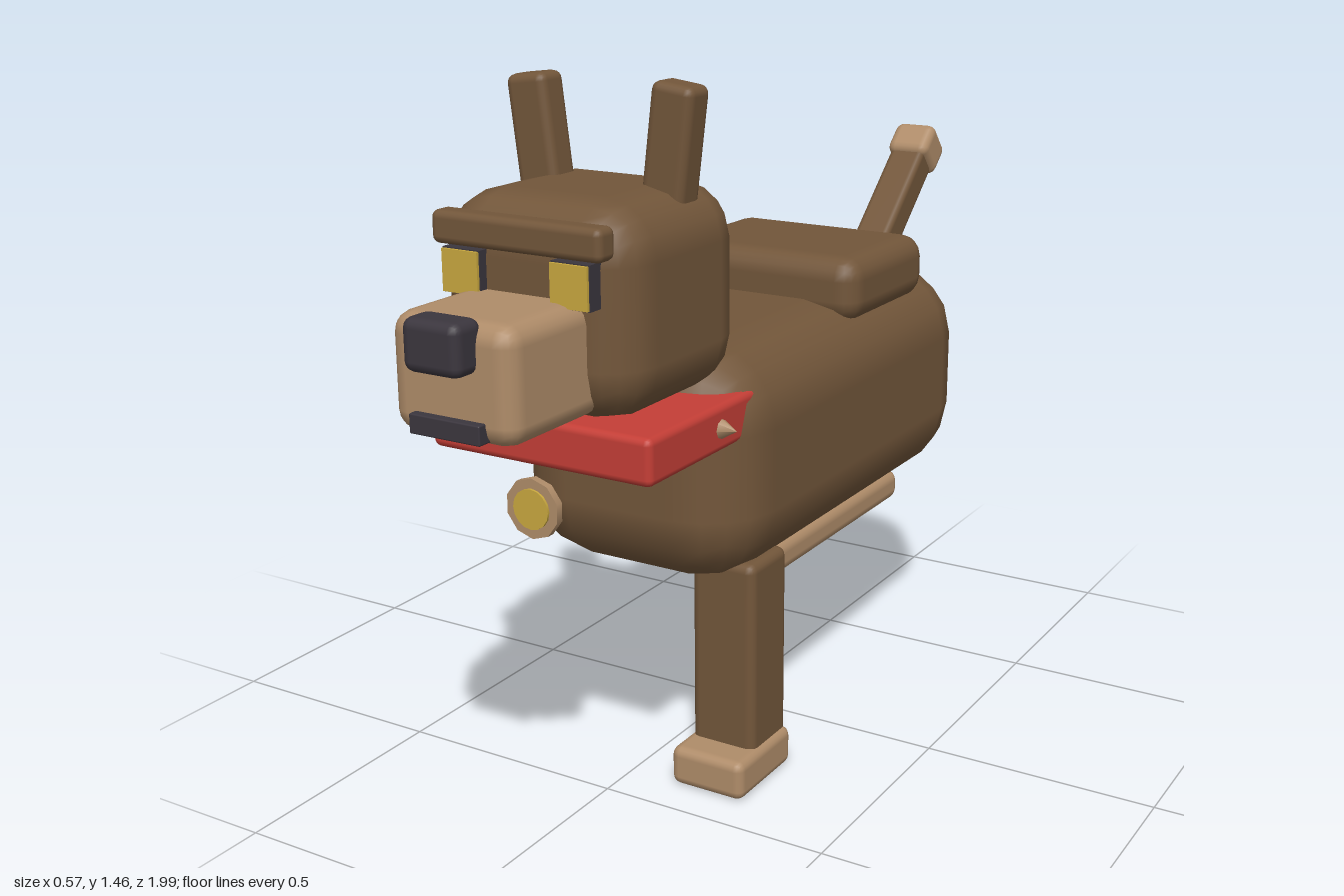
import * as THREE from 'three';
import { RoundedBoxGeometry } from 'three/addons/geometries/RoundedBoxGeometry.js';

const mat = (name, color) => {
  const m = new THREE.MeshStandardMaterial({ color });
  m.name = name;
  return m;
};

export function createModel() {
  const dog = new THREE.Group();
  dog.name = 'dog';

  const brown = mat('brown fur', 0x72563a);
  const tan = mat('tan fur', 0xaf8c69);
  const red = mat('red collar', 0xc43e36);
  const gold = mat('gold', 0xc9a83f);
  const dark = mat('dark nose', 0x3b363e);

  const add = (name, geometry, material, x, y, z) => {
    const mesh = new THREE.Mesh(geometry, material);
    mesh.name = name;
    mesh.position.set(x, y, z);
    dog.add(mesh);
    return mesh;
  };

  // Softened block given by its extents on each axis
  const block = (name, material, [x0, x1], [y0, y1], [z0, z1], radius) =>
    add(name, new RoundedBoxGeometry(x1 - x0, y1 - y0, z1 - z0, 2, radius), material,
      (x0 + x1) / 2, (y0 + y1) / 2, (z0 + z1) / 2);

  // Torso
  block('body', brown, [-0.28, 0.28], [0.44, 0.93], [-0.665, 0.455], 0.16);
  block('backPad', brown, [-0.243, 0.243], [0.88, 1.025], [-0.48, -0.11], 0.05);
  block('belly', tan, [-0.22, 0.22], [0.40, 0.47], [-0.41, 0.22], 0.025);

  // Single front leg and paw
  block('frontLeg', brown, [0.11, 0.257], [0.04, 0.49], [0.2, 0.345], 0.02);
  block('frontPaw', tan, [0.1, 0.27], [0, 0.085], [0.2, 0.415], 0.02);

  // Head and face
  block('head', brown, [-0.22, 0.22], [0.86, 1.27], [0.295, 0.735], 0.11);
  block('muzzle', tan, [-0.135, 0.135], [0.88, 1.1], [0.66, 0.95], 0.04);
  block('nose', dark, [-0.062, 0.062], [1.01, 1.108], [0.925, 1.0], 0.02);
  block('mouth', dark, [-0.077, 0.077], [0.89, 0.927], [0.93, 0.968], 0.003);
  block('brow', brown, [-0.187, 0.187], [1.177, 1.24], [0.705, 0.758], 0.015);

  for (const s of [1, -1]) {
    const side = s > 0 ? 'left' : 'right';
    // Eye: dark socket with a gold plate on its front
    add(side + 'EyeSocket', new THREE.BoxGeometry(0.084, 0.084, 0.06), dark, s * 0.12, 1.132, 0.724);
    add(side + 'Eye', new THREE.BoxGeometry(0.08, 0.08, 0.006), gold, s * 0.12, 1.132, 0.757);
    // Ear leaning outwards
    const ear = add(side + 'Ear', new RoundedBoxGeometry(0.092, 0.27, 0.073, 2, 0.018), brown,
      s * 0.149, 1.325, 0.457);
    ear.rotation.z = -s * 0.125;
    // Collar stud
    const stud = add(side + 'Stud', new THREE.ConeGeometry(0.024, 0.04, 8), tan, s * 0.263, 0.81, 0.455);
    stud.rotation.z = -s * Math.PI / 2;
  }

  // Collar with a round tag
  block('collar', red, [-0.25, 0.25], [0.763, 0.857], [0.27, 0.705], 0.015);
  const disc = (name, material, r, depth, z, sides) => {
    const d = add(name, new THREE.CylinderGeometry(r, r, depth, sides), material, 0, 0.688, z);
    d.rotation.x = Math.PI / 2;
  };
  disc('tagRim', tan, 0.06, 0.016, 0.718, 10);
  disc('tagFace', gold, 0.04, 0.006, 0.728, 16);

  // Tail rising backwards, with a light tip
  const tilt = -0.835;
  const tail = add('tail', new RoundedBoxGeometry(0.09, 0.46, 0.08, 2, 0.015), brown, 0, 0.985, -0.763);
  const tip = add('tailTip', new RoundedBoxGeometry(0.108, 0.092, 0.105, 2, 0.022), tan, 0, 1.138, -0.933);
  tail.rotation.x = tip.rotation.x = tilt;

  return dog;
}
